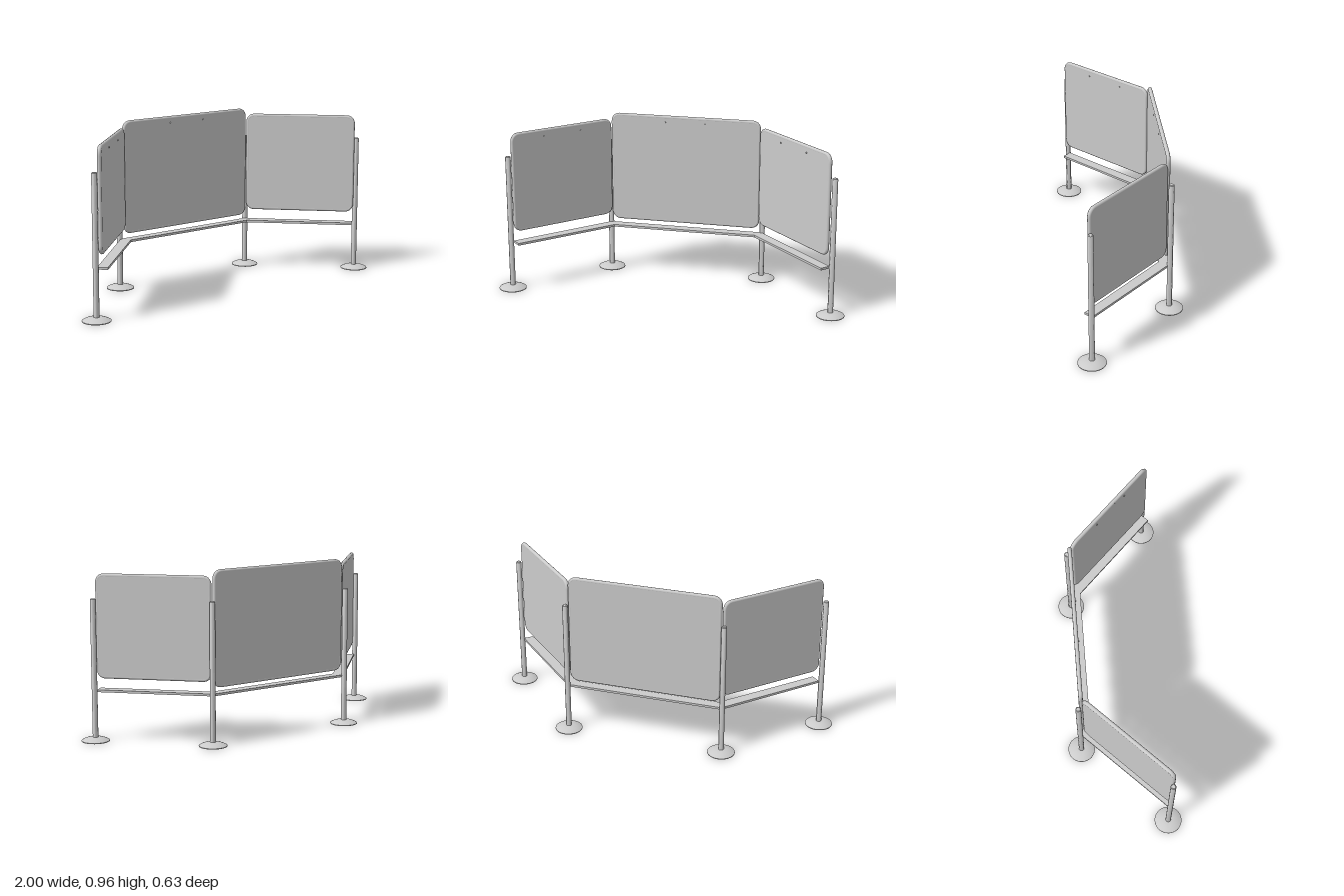
import * as THREE from 'three';
import { toCreasedNormals } from 'three/addons/utils/BufferGeometryUtils.js';

const material = new THREE.MeshStandardMaterial({ color: 0xcccccc });
const TUBE = 0.0115;

function addMesh(parent, name, geometry) {
  const mesh = new THREE.Mesh(geometry, material);
  mesh.name = name;
  parent.add(mesh);
  return mesh;
}

function roundedRect(w, h, r) {
  const x = w / 2, y = h / 2;
  const s = new THREE.Shape();
  s.moveTo(-x + r, -y);
  s.lineTo(x - r, -y);
  s.absarc(x - r, -y + r, r, -Math.PI / 2, 0);
  s.lineTo(x, y - r);
  s.absarc(x - r, y - r, r, 0, Math.PI / 2);
  s.lineTo(-x + r, y);
  s.absarc(-x + r, y - r, r, Math.PI / 2, Math.PI);
  s.lineTo(-x, -y + r);
  s.absarc(-x + r, -y + r, r, Math.PI, Math.PI * 1.5);
  return s;
}

// Flat board edged by a bent tube, with two small studs near the top
function createPanel(name, w, h, studDrop) {
  const group = new THREE.Group();
  group.name = name;
  const outline = roundedRect(w - 2 * TUBE, h - 2 * TUBE, 0.036);

  const half = 0.0108;
  const board = new THREE.ExtrudeGeometry(outline, { depth: 2 * half, bevelEnabled: false, curveSegments: 10 });
  board.translate(0, 0, -half);
  addMesh(group, 'board', toCreasedNormals(board, 0.6));

  const points = outline.getSpacedPoints(240).slice(0, -1).map(p => new THREE.Vector3(p.x, p.y, 0));
  const path = new THREE.CatmullRomCurve3(points, true);
  addMesh(group, 'frameTube', new THREE.TubeGeometry(path, 240, TUBE, 12, true));

  for (const side of [-1, 1]) {
    const stud = new THREE.CylinderGeometry(0.004, 0.004, 0.006, 10).rotateX(Math.PI / 2);
    addMesh(group, 'stud', stud).position.set(side * 0.117, h / 2 - studDrop, half + 0.002);
  }
  return group;
}

// Post with softened top, standing on a shallow domed foot
function createPost(x, z) {
  const group = new THREE.Group();
  group.name = 'post';
  const lathe = pairs => toCreasedNormals(
    new THREE.LatheGeometry(pairs.map(p => new THREE.Vector2(...p)), 32), 0.6);
  addMesh(group, 'pole', lathe([[0.0155, 0.01], [0.0155, 0.785], [0.0145, 0.789], [0.011, 0.792], [0, 0.793]]));
  addMesh(group, 'foot', lathe([
    [0, 0], [0.078, 0], [0.078, 0.004], [0.066, 0.0105], [0.052, 0.016], [0.038, 0.02], [0.026, 0.022], [0, 0.0225],
  ]));
  group.position.set(x, 0, z);
  return group;
}

export function createModel() {
  const model = new THREE.Group();
  model.name = 'foldingDisplayStand';

  // Centre panel
  const centre = createPanel('centrePanel', 0.88, 0.645, 0.038);
  centre.position.set(0, 0.638, -0.218);
  model.add(centre);

  // Angled wings and posts, mirrored
  for (const side of [-1, 1]) {
    const wing = createPanel(side > 0 ? 'leftPanel' : 'rightPanel', 0.643, 0.58, 0.042);
    wing.position.set(side * 0.67, 0.638, 0.0175);
    wing.rotation.y = -side * Math.PI / 4;
    model.add(wing);
    model.add(createPost(side * 0.92, 0.235), createPost(side * 0.455, -0.235));
  }

  // Narrow mitred shelf below the panels, in plan
  const half = [[0.42, -0.175], [0.865, 0.267], [0.906, 0.226], [0.45, -0.232]];
  const plan = [...half, ...half.map(([x, z]) => [-x, z]).reverse()];
  const shelf = new THREE.ExtrudeGeometry(
    new THREE.Shape(plan.map(p => new THREE.Vector2(...p))), { depth: 0.013, bevelEnabled: false });
  shelf.rotateX(Math.PI / 2);
  addMesh(model, 'shelf', shelf).position.y = 0.287;

  return model;
}
